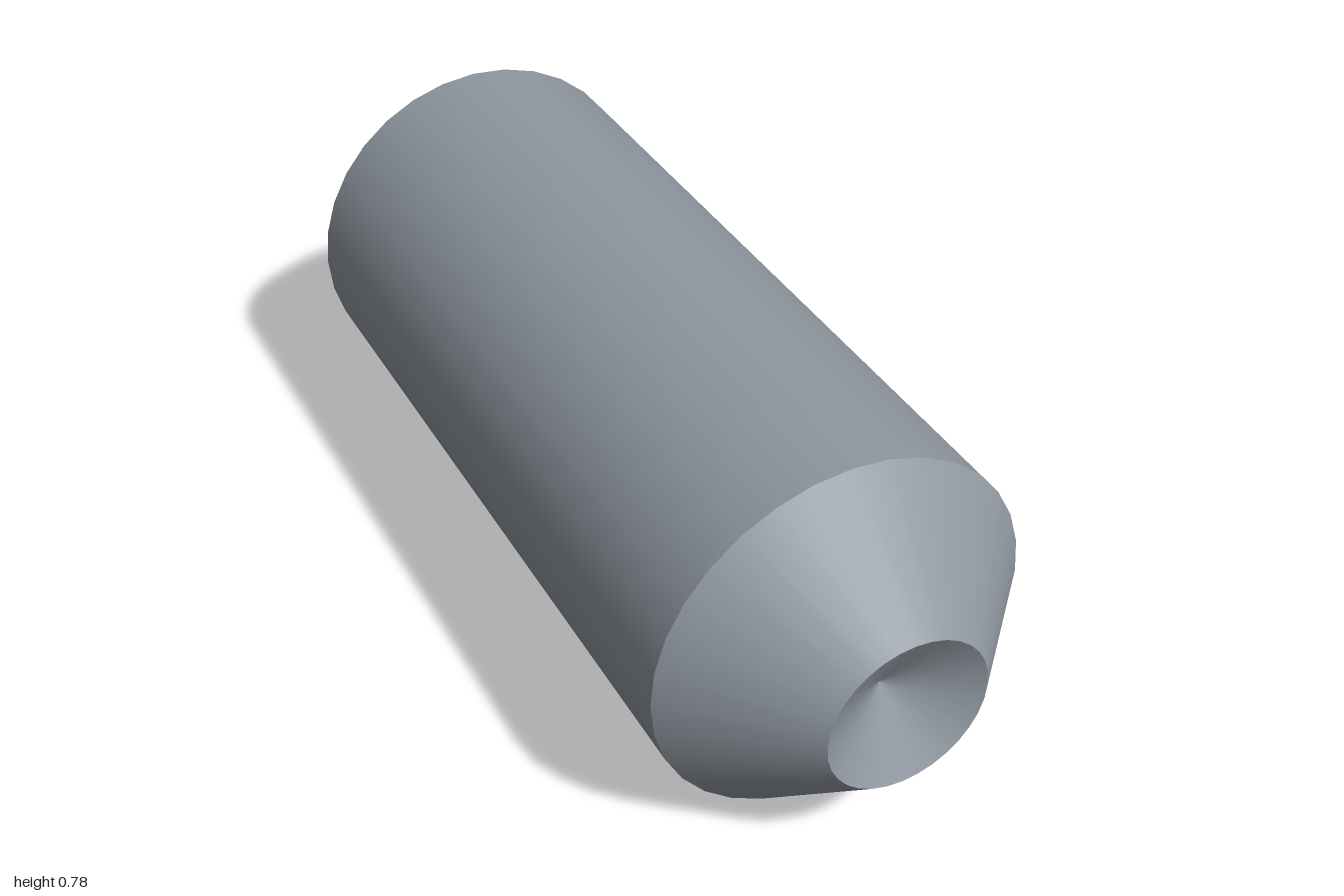
import * as THREE from 'three';

const SIDES = 32;
// stations along the screw axis and radii
const BACK = -0.962, REAR = -0.857, FRONT = 0.758, TIP = 0.987;
const BODY_R = 0.389, BACK_R = 0.284, TIP_R = 0.166;
const CUP_DEPTH = 0.096;
const SOCKET_R = 0.204, SOCKET_DEPTH = 0.45, SOCKET_STEPS = 48;

export function createModel() {
  const steel = new THREE.MeshStandardMaterial({ color: 0x8e969f });
  steel.name = 'steel';
  const group = new THREE.Group();
  group.name = 'setScrew';

  const add = (name, geometry) => {
    const mesh = new THREE.Mesh(geometry, steel);
    mesh.name = name;
    group.add(mesh);
  };

  // One smooth band of revolution per part keeps the edges between them sharp
  const band = (name, r0, y0, r1, y1) =>
    add(name, new THREE.LatheGeometry(
      [new THREE.Vector2(r0, y0), new THREE.Vector2(r1, y1)], SIDES));

  band('rearChamfer', BACK_R, BACK, BODY_R, REAR);
  band('shank', BODY_R, REAR, BODY_R, FRONT);
  band('pointCone', BODY_R, FRONT, TIP_R, TIP);
  band('cupPoint', TIP_R, TIP, 0, TIP - CUP_DEPTH);

  // Flat end face with the round mouth of the socket
  const circle = (r, n) => Array.from({ length: n }, (_, i) => {
    const a = (i / n) * Math.PI * 2;
    return new THREE.Vector2(r * Math.cos(a), r * Math.sin(a));
  });
  const face = new THREE.Shape(circle(BACK_R, SIDES));
  face.holes.push(new THREE.Path(circle(SOCKET_R, SOCKET_STEPS)));
  add('endFace', new THREE.ShapeGeometry(face).rotateX(Math.PI / 2).translate(0, BACK, 0));

  // Hexagon radius at an angle, with corners on the mouth circle
  const hexRadius = (a) => {
    const third = Math.PI / 3;
    const local = (a % third) - third / 2;
    return SOCKET_R * Math.cos(third / 2) / Math.cos(local);
  };
  const ring = (radius, height) => Array.from({ length: SOCKET_STEPS }, (_, i) => {
    const a = (i / SOCKET_STEPS) * Math.PI * 2;
    const r = radius(a);
    return [r * Math.cos(a), height(r), r * Math.sin(a)];
  });

  // Faces between two rings, seen from inside the socket
  const strip = (name, outer, inner) => {
    const pos = [];
    for (let i = 0; i < SOCKET_STEPS; i++) {
      const j = (i + 1) % SOCKET_STEPS;
      pos.push(...outer[i], ...outer[j], ...inner[i]);
      pos.push(...outer[j], ...inner[j], ...inner[i]);
    }
    const g = new THREE.BufferGeometry();
    g.setAttribute('position', new THREE.Float32BufferAttribute(pos, 3));
    g.computeVertexNormals();
    add(name, g);
  };

  // Hex socket: conical lead-in, six flats and floor
  const mouth = ring(() => SOCKET_R, () => BACK);
  const leadIn = ring(hexRadius, (r) => BACK + 0.8 * (SOCKET_R - r));
  const bottom = ring(hexRadius, () => BACK + SOCKET_DEPTH);
  const centre = ring(() => 0, () => BACK + SOCKET_DEPTH);
  strip('socketLeadIn', mouth, leadIn);
  strip('socketWalls', leadIn, bottom);
  strip('socketFloor', bottom, centre);

  // Lay the screw down and turn it slightly
  group.rotation.set(0, -0.209, -Math.PI / 2);
  group.position.set(0, BODY_R, 0.01);

  const model = new THREE.Group();
  model.name = 'screwModel';
  model.add(group);
  return model;
}
